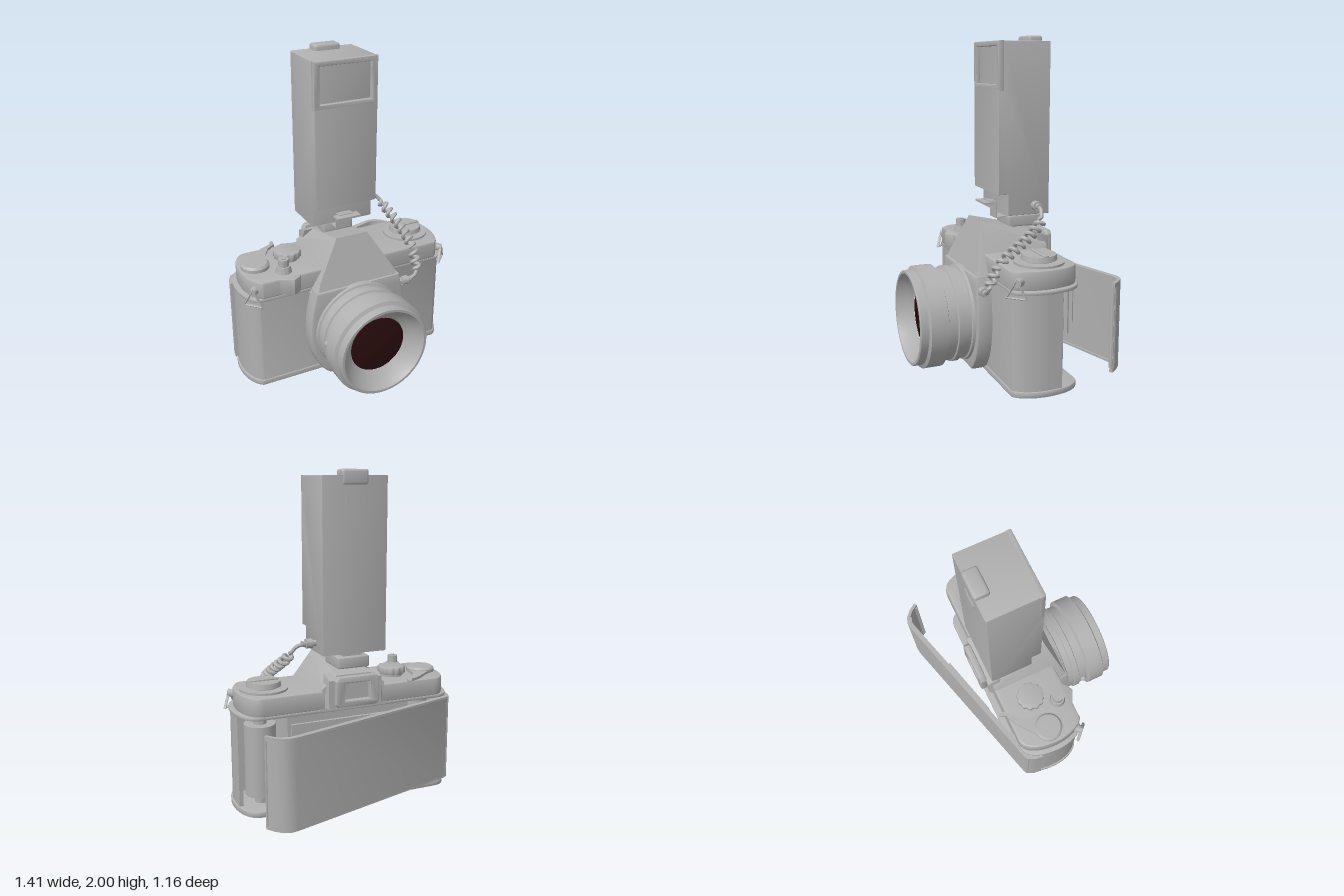
import * as THREE from 'three';
import { toCreasedNormals } from 'three/addons/utils/BufferGeometryUtils.js';
import { RoundedBoxGeometry } from 'three/addons/geometries/RoundedBoxGeometry.js';
import { ConvexGeometry } from 'three/addons/geometries/ConvexGeometry.js';

const V = (x, y, z) => new THREE.Vector3(x, y, z);

export function createModel() {
  const root = new THREE.Group();
  root.name = 'cameraWithFlash';
  const grey = new THREE.MeshStandardMaterial({ name: 'grey', color: 0xb0b0b0 });
  const glass = new THREE.MeshStandardMaterial({ name: 'darkRedGlass', color: 0x2a0c0c });

  const add = (name, geo, x = 0, y = 0, z = 0, mat = grey) => {
    const m = new THREE.Mesh(toCreasedNormals(geo, 0.6), mat);
    m.name = name;
    m.position.set(x, y, z);
    root.add(m);
    return m;
  };
  const box = (name, w, h, d, x, y, z, r = 0) =>
    add(name, r ? new RoundedBoxGeometry(w, h, d, 2, r) : new THREE.BoxGeometry(w, h, d), x, y, z);
  // upright disc from height y0 to y1
  const disc = (name, r, y0, y1, x, z, rTop = r) =>
    add(name, new THREE.CylinderGeometry(rTop, r, y1 - y0, 40), x, (y0 + y1) / 2, z);
  // extrusion filling exactly 0..depth, with the bevel kept inside the outline
  const extrude = (shape, depth, b = 0) => new THREE.ExtrudeGeometry(shape, {
    depth: depth - 2 * b, bevelEnabled: b > 0, bevelSize: b, bevelThickness: b,
    bevelOffset: -b, bevelSegments: 2, curveSegments: 14,
  }).translate(0, 0, b);
  const poly = pts => new THREE.Shape(pts.map(p => new THREE.Vector2(...p)));
  const rect = (w, y0, y1) => [[-w, y0], [w, y0], [w, y1], [-w, y1]];
  // plan outlines use (x, -z) and rise along y; side outlines use (z, y) and span x
  const upright = (shape, y0, y1, b) => extrude(shape, y1 - y0, b).rotateX(-Math.PI / 2).translate(0, y0, 0);
  const sideways = (shape, halfWidth, b) =>
    extrude(shape, halfWidth * 2, b).rotateY(-Math.PI / 2).translate(halfWidth, 0, 0);
  // strip of constant thickness along a line of points
  const ribbon = (pts, t) => {
    const off = pts.map((p, i) => {
      const a = pts[Math.max(i - 1, 0)], c = pts[Math.min(i + 1, pts.length - 1)];
      const dx = c[0] - a[0], dy = c[1] - a[1], l = Math.hypot(dx, dy);
      return [p[0] + dy / l * t, p[1] - dx / l * t];
    });
    return poly([...pts, ...off.reverse()]);
  };

  // Body: base, hollow middle and top plate
  const plan = (k = 1) => {
    const s = new THREE.Shape();
    s.moveTo(-0.62 * k, -0.155);
    s.lineTo(0.62 * k, -0.155);
    s.bezierCurveTo(0.67 * k, -0.13, 0.7 * k, -0.04, 0.7 * k, 0.04);
    s.bezierCurveTo(0.7 * k, 0.16, 0.66 * k, 0.26, 0.58 * k, 0.26);
    s.lineTo(-0.58 * k, 0.26);
    s.bezierCurveTo(-0.66 * k, 0.26, -0.7 * k, 0.16, -0.7 * k, 0.04);
    s.bezierCurveTo(-0.7 * k, -0.04, -0.67 * k, -0.13, -0.62 * k, -0.155);
    return s;
  };
  add('basePlate', upright(plan(), 0, 0.035, 0.005));
  const mid = new THREE.Shape();
  mid.moveTo(-0.61, -0.15);
  mid.lineTo(0.61, -0.15);
  mid.bezierCurveTo(0.66, -0.125, 0.69, -0.04, 0.69, 0.04);
  [[0.685, 0.13], [0.66, 0.13], [0.66, 0], [0.62, -0.08], [0.44, -0.08], [0.4, 0], [0.4, 0.2],
    [-0.4, 0.2], [-0.4, 0], [-0.44, -0.08], [-0.62, -0.08], [-0.65, 0], [-0.64, 0.18], [-0.67, 0.18]]
    .forEach(p => mid.lineTo(...p));
  mid.bezierCurveTo(-0.69, 0.12, -0.69, 0.08, -0.69, 0.04);
  mid.bezierCurveTo(-0.69, -0.04, -0.66, -0.125, -0.61, -0.15);
  add('bodyShell', upright(mid, 0.03, 0.6));
  add('bodyRim', upright(plan(), 0.595, 0.615, 0.004));
  add('topPlate', upright(plan(0.957), 0.61, 0.725, 0.012));

  // Film chamber
  disc('filmCassette', 0.095, 0.09, 0.53, 0.54, -0.1);
  disc('cassetteSpool', 0.04, 0.03, 0.6, 0.54, -0.1);
  disc('takeUpSpool', 0.075, 0.03, 0.6, -0.52, -0.08);
  const gate = poly(rect(0.38, 0.1, 0.53));
  gate.holes.push(new THREE.Path(rect(0.2, 0.17, 0.46).map(p => new THREE.Vector2(...p))));
  add('filmGate', extrude(gate, 0.02), 0, 0, -0.22);

  // Open back door with its pressure plate and hinge
  const doorLine = [[-0.697, 0.15], [-0.69, 0.2], [-0.675, 0.235], [-0.645, 0.26], [0.48, 0.578], [0.52, 0.583],
    [0.56, 0.57], [0.6, 0.535], [0.635, 0.487]];
  add('backDoor', upright(ribbon(doorLine, 0.02), 0.045, 0.59));
  for (const y of [0.045, 0.578])
    add('doorLip', upright(ribbon(doorLine.slice(3, 7), 0.032), y, y + 0.012));
  box('doorCatch', 0.03, 0.5, 0.02, 0.617, 0.317, -0.49);
  add('pressurePlate', upright(ribbon([[-0.24, 0.335], [0.16, 0.443]], 0.012), 0.13, 0.505));
  add('plateSpring', upright(ribbon([[-0.22, 0.355], [0.17, 0.468]], 0.008), 0.2, 0.43));
  disc('doorHinge', 0.018, 0.045, 0.59, -0.655, -0.235);

  // Prism housing and lens panel
  const prism = [];
  for (const s of [-1, 1]) prism.push(
    V(s * 0.3, 0.58, 0.15), V(s * 0.28, 0.58, 0.235), V(s * 0.25, 0.66, 0.21), V(s * 0.22, 0.6, -0.26),
    V(s * 0.2, 0.74, -0.26), V(s * 0.105, 0.9, 0.135), V(s * 0.11, 0.81, -0.25));
  add('prismHousing', new ConvexGeometry(prism));
  const panel = new THREE.Shape();
  panel.moveTo(-0.2, 0.012);
  panel.lineTo(0.2, 0.012);
  panel.bezierCurveTo(0.32, 0.1, 0.37, 0.32, 0.285, 0.61);
  panel.lineTo(-0.285, 0.61);
  panel.bezierCurveTo(-0.37, 0.32, -0.32, 0.1, -0.2, 0.012);
  add('lensPanel', extrude(panel, 0.125, 0.015), 0, 0, 0.115);

  // Lens
  const lathe = pts => new THREE.LatheGeometry(pts.map(p => new THREE.Vector2(...p)), 64).rotateX(Math.PI / 2);
  add('lensBarrel', lathe([[0.305, 0.2], [0.295, 0.255], [0.283, 0.26], [0.283, 0.3], [0.295, 0.304],
    [0.295, 0.34], [0.284, 0.345], [0.284, 0.4], [0.312, 0.41], [0.312, 0.515], [0.29, 0.525],
    [0.29, 0.57], [0.285, 0.575], [0.27, 0.575], [0.262, 0.56], [0.225, 0.515], [0.18, 0.48]]), 0, 0.317, 0);
  add('lensGlass', lathe([[0.181, 0.478], [0.12, 0.488], [0.06, 0.494], [0, 0.496]]), 0, 0.317, 0, glass);
  add('lensReleaseKnob', new THREE.SphereGeometry(0.022, 16, 12), -0.282, 0.34, 0.373);

  // Eyepiece
  add('eyepieceMount', new ConvexGeometry([-1, 1].flatMap(s => [
    V(s * 0.2, 0.62, -0.24), V(s * 0.17, 0.62, -0.285), V(s * 0.17, 0.79, -0.285), V(s * 0.17, 0.82, -0.2)])));
  const eye = poly([[-0.14, 0.65], [-0.12, 0.63], [0.12, 0.63], [0.14, 0.65], [0.14, 0.79], [0.12, 0.815],
    [-0.12, 0.815], [-0.14, 0.79]]);
  eye.holes.push(new THREE.Path(rect(0.08, 0.67, 0.775).map(p => new THREE.Vector2(...p))));
  add('eyepieceFrame', extrude(eye, 0.045, 0.01), 0, 0, -0.325);

  // Accessory shoe and flash foot
  box('accessoryShoe', 0.2, 0.07, 0.21, 0, 0.883, -0.155, 0.008);
  box('flashFoot', 0.13, 0.06, 0.17, 0, 0.925, -0.15);
  add('footBracket', sideways(ribbon([[0.06, 1.0], [0.015, 1.0], [0.015, 0.9], [-0.06, 0.9]], 0.01), 0.048));
  box('footTab', 0.16, 0.012, 0.06, 0, 1.0, 0.07);

  // Flash unit with a recessed window
  add('flashBody', sideways(poly([[-0.27, 0.94], [0, 0.94], [0, 1.07], [0.06, 1.07], [0.06, 1.69], [0.035, 1.69],
    [0.035, 1.965], [-0.27, 1.965]]), 0.205, 0.008));
  const frame = poly(rect(0.205, 1.68, 1.965));
  frame.holes.push(new THREE.Path(rect(0.165, 1.715, 1.935).map(p => new THREE.Vector2(...p))));
  add('flashWindowFrame', extrude(frame, 0.04, 0.008), 0, 0, 0.02);
  box('flashLatch', 0.165, 0.09, 0.09, 0, 1.955, -0.23, 0.015);
  const slot = poly(rect(0.055, 1.81, 1.845));
  slot.holes.push(new THREE.Path(rect(0.045, 1.82, 1.835).map(p => new THREE.Vector2(...p))));
  add('flashSlot', extrude(slot, 0.006), 0, 0, -0.275);

  // Coiled cable and its plugs
  const path = new THREE.CatmullRomCurve3([V(0.27, 1, -0.165), V(0.325, 0.985, -0.16), V(0.37, 0.92, -0.13),
    V(0.42, 0.81, 0.02), V(0.43, 0.74, 0.12), V(0.43, 0.64, 0.19), V(0.42, 0.565, 0.215),
    V(0.37, 0.535, 0.21), V(0.31, 0.535, 0.21)]);
  const N = 300, frames = path.computeFrenetFrames(N), coil = [];
  for (let i = 0; i <= N; i++) {
    const t = i / N, a = t * Math.PI * 2 * 17;
    const r = 0.024 * Math.min(1, Math.max(0, Math.min(t - 0.13, 0.83 - t) * 25));
    coil.push(path.getPointAt(t)
      .addScaledVector(frames.normals[i], r * Math.cos(a)).addScaledVector(frames.binormals[i], r * Math.sin(a)));
  }
  add('coiledCable', new THREE.TubeGeometry(new THREE.CatmullRomCurve3(coil), 500, 0.012, 8));
  for (const [x, y, z, d] of [[0.2, 1, -0.165, 1], [0.29, 0.535, 0.21, 1]]) {
    const plug = (r, w, at) => add('cablePlug', new THREE.CylinderGeometry(r, r, w, 20).rotateZ(Math.PI / 2), x + at * d, y, z);
    plug(0.018, 0.04, 0.015);
    plug(0.028, 0.04, 0.05);
    plug(0.018, 0.03, 0.08);
  }

  // Film advance lever, speed dial and shutter button
  disc('advanceHub', 0.088, 0.72, 0.745, -0.565, -0.055);
  disc('advanceCap', 0.088, 0.745, 0.758, -0.565, -0.055, 0.075);
  add('advanceLever', upright(poly([[-0.6, 0.13], [-0.54, 0.17], [-0.46, 0.235], [-0.39, 0.265], [-0.37, 0.305],
    [-0.353, 0.3], [-0.36, 0.26], [-0.42, 0.215], [-0.46, 0.15], [-0.48, 0.05], [-0.55, 0.02]]), 0.722, 0.74));
  disc('speedDialBase', 0.07, 0.72, 0.74, -0.345, -0.075);
  const knurl = Array.from({ length: 48 }, (_, i) => {
    const r = i % 4 < 2 ? 0.087 : 0.081, a = i / 48 * Math.PI * 2;
    return [r * Math.cos(a), r * Math.sin(a)];
  });
  add('speedDial', upright(poly(knurl), 0.74, 0.785, 0.004), -0.345, 0, -0.075);
  disc('shutterCollar', 0.05, 0.72, 0.765, -0.43, 0.075, 0.042);
  disc('shutterButton', 0.032, 0.76, 0.81, -0.43, 0.075);
  disc('shutterSocket', 0.014, 0.81, 0.815, -0.43, 0.075);
  add('shutterHousing', upright(poly([[-0.52, -0.14], [-0.46, -0.17], [-0.41, -0.195], [-0.37, -0.175],
    [-0.34, -0.14]]), 0.62, 0.722, 0.004));

  // Rewind knob with folding crank
  disc('rewindBase', 0.145, 0.72, 0.738, 0.5, -0.065);
  disc('rewindNeck', 0.085, 0.735, 0.75, 0.5, -0.065);
  disc('rewindKnob', 0.105, 0.748, 0.778, 0.5, -0.065, 0.1);
  box('rewindCrank', 0.19, 0.012, 0.03, 0.505, 0.781, -0.065, 0.004);

  // Strap lugs on both front corners
  for (const s of [-1, 1]) {
    const post = add('strapLug', new THREE.CylinderGeometry(0.022, 0.03, 0.07, 16).rotateX(Math.PI / 2), s * 0.635, 0.665, 0.115);
    const ring = add('strapRing', new THREE.TorusGeometry(0.066, 0.01, 8, 3).rotateZ(Math.PI / 2), s * 0.655, 0.615, 0.14);
    post.rotation.y = ring.rotation.y = s * Math.PI / 4;
  }

  // Underside fittings
  const ringAt = (name, r, x, z) =>
    add(name, new THREE.TorusGeometry(r, 0.006, 8, 28).rotateX(Math.PI / 2), x, 0.006, z);
  ringAt('tripodSocket', 0.03, 0, -0.04);
  ringAt('rewindRelease', 0.035, -0.45, -0.04);
  disc('rewindReleaseButton', 0.02, 0.001, 0.01, -0.45, -0.04);
  return root;
}
